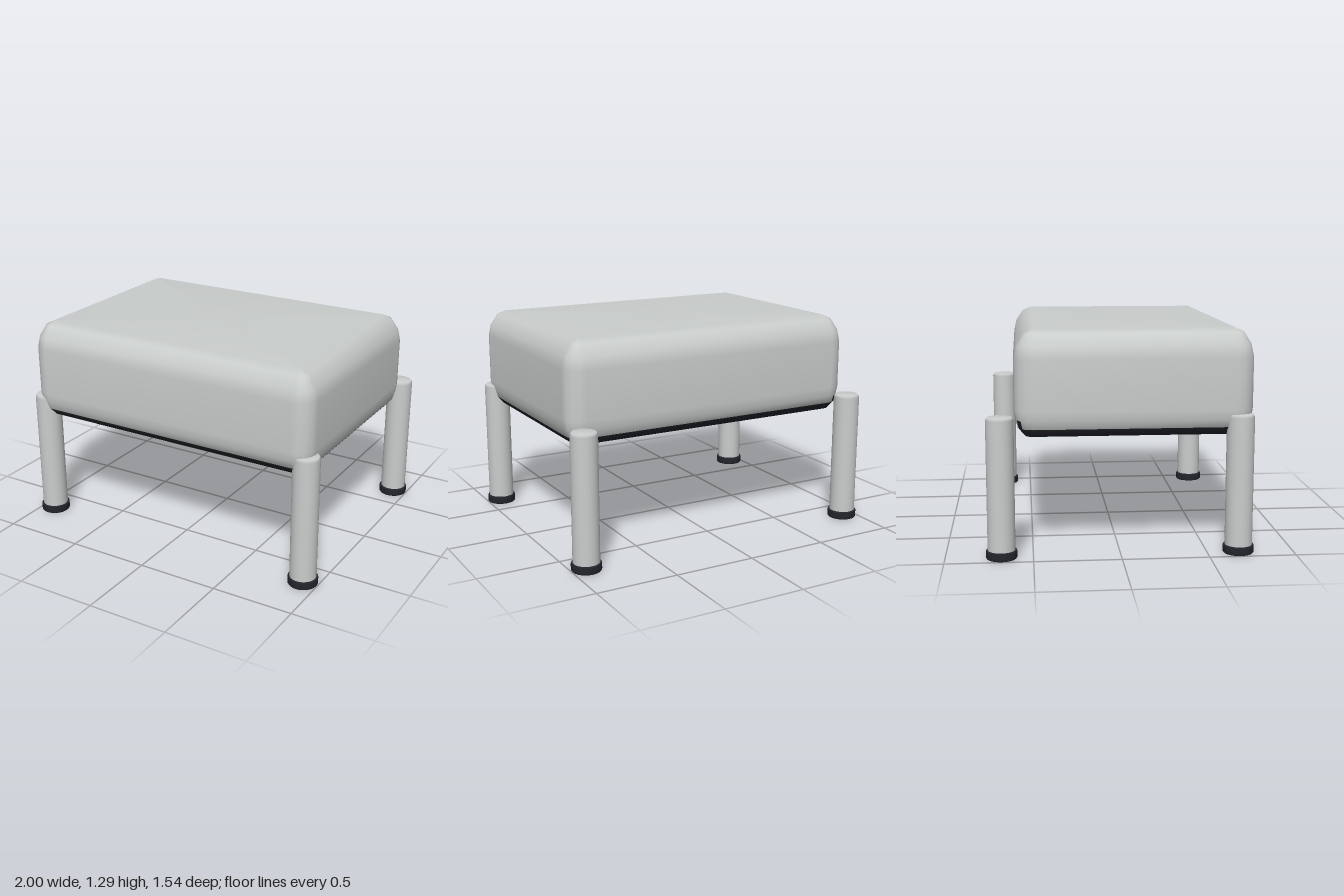
import * as THREE from 'three';

const V2 = (x, y) => new THREE.Vector2(x, y);

// Rounded-rectangle loop at a given inset from the widest outline
function outline(inset, y) {
  const R = 0.11, steps = 4, pts = [];
  const r = Math.max(R - inset, 0.005);
  const hx = 0.955 - inset - r, hz = 0.68 - inset - r;
  const corners = [[1, 1], [-1, 1], [-1, -1], [1, -1]];
  corners.forEach(([sx, sz], c) => {
    for (let i = 0; i <= steps; i++) {
      const a = (c + i / steps) * Math.PI / 2;
      pts.push([sx * hx + r * Math.cos(a), y, sz * hz + r * Math.sin(a)]);
    }
  });
  return pts;
}

// Cushioned body lofted from stacked outlines; one row is the dark seam
function bodyGeometry() {
  const rows = [[0.11, 0.685], [0.062, 0.692], [0.022, 0.738], [0.009, 0.785], [0, 0.84],
    [0, 1.13], [0.015, 1.2], [0.06, 1.27], [0.11, 1.293]];
  const seamRow = 1, n = 20, pos = [], light = [], dark = [];
  rows.forEach(([inset, y]) => outline(inset, y).forEach(p => pos.push(...p)));
  for (let k = 0; k < rows.length - 1; k++) {
    for (let i = 0; i < n; i++) {
      const a = k * n + i, b = k * n + (i + 1) % n, c = a + n, d = b + n;
      // The seam climbs a little at the two rear corners
      const rearPatch = k === seamRow + 1 && (i === 12 || i === 16);
      (k === seamRow || rearPatch ? dark : light).push(a, c, b, b, c, d);
    }
  }
  // Top and bottom caps
  const bottom = pos.length / 3, top = bottom + 1, last = (rows.length - 1) * n;
  pos.push(0, rows[0][1], 0, 0, rows[rows.length - 1][1], 0);
  for (let i = 0; i < n; i++) {
    const j = (i + 1) % n;
    light.push(bottom, i, j, top, last + j, last + i);
  }
  const g = new THREE.BufferGeometry();
  g.setAttribute('position', new THREE.Float32BufferAttribute(pos, 3));
  g.setIndex([...light, ...dark]);
  g.addGroup(0, light.length, 0);
  g.addGroup(light.length, dark.length, 1);
  g.computeVertexNormals();
  return g;
}

export function createModel() {
  const model = new THREE.Group();
  model.name = 'footstool';
  const grey = new THREE.MeshStandardMaterial({ color: 0xc9cdcc });
  grey.name = 'lightGrey';
  const black = new THREE.MeshStandardMaterial({ color: 0x24252c });
  black.name = 'darkTrim';

  const body = new THREE.Mesh(bodyGeometry(), [grey, black]);
  body.name = 'body';
  body.position.z = 0.08;
  model.add(body);

  // Posts with a softened top edge, each standing in a dark ring
  const postGeo = new THREE.LatheGeometry([V2(0, 0.003), V2(0.078, 0.003), V2(0.078, 0.003),
    V2(0.079, 0.02), V2(0.079, 0.795), V2(0.07, 0.81), V2(0, 0.812)], 32);
  const ringGeo = new THREE.LatheGeometry([V2(0.07, 0.003), V2(0.072, 0), V2(0.085, 0), V2(0.089, 0.006),
    V2(0.089, 0.042), V2(0.086, 0.048), V2(0.076, 0.049)], 32);
  for (const [x, side] of [[0.91, 'Left'], [-0.91, 'Right']]) {
    for (const [z, end] of [[0.68, 'front'], [-0.68, 'back']]) {
      const leg = new THREE.Group();
      leg.name = `${end}${side}Leg`;
      const post = new THREE.Mesh(postGeo, grey);
      post.name = 'post';
      const ring = new THREE.Mesh(ringGeo, black);
      ring.name = 'footRing';
      leg.add(post, ring);
      leg.position.set(x, 0, z);
      model.add(leg);
    }
  }
  return model;
}
